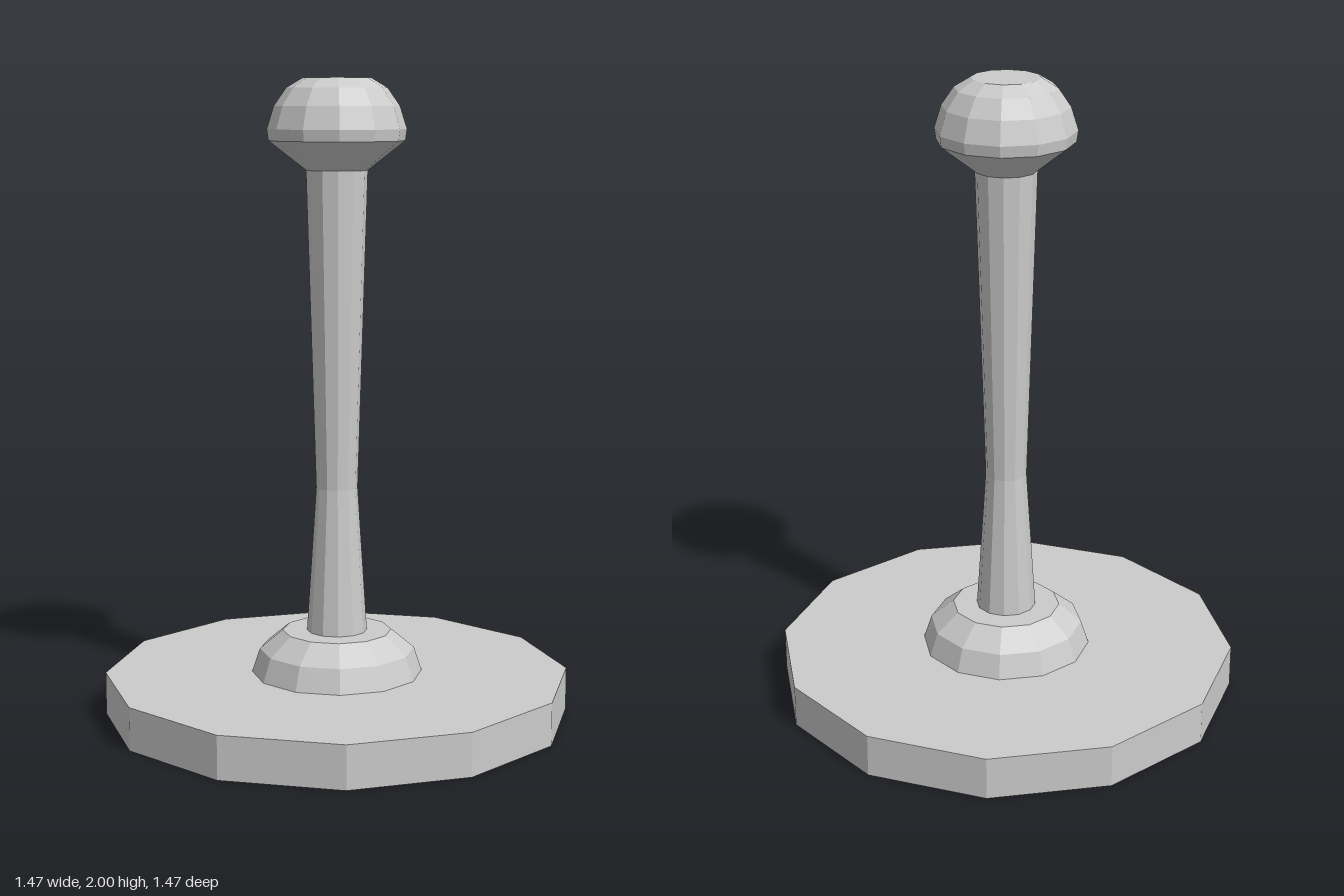
import * as THREE from 'three';

const SIDES = 12;

export function createModel() {
  const group = new THREE.Group();
  const material = new THREE.MeshStandardMaterial({ color: 0xcccccc, flatShading: true });

  // Turns a [radius, height] profile, listed bottom to top, into a faceted part
  const turned = (name, profile) => {
    const points = profile.map(([r, y]) => new THREE.Vector2(r, y));
    const mesh = new THREE.Mesh(new THREE.LatheGeometry(points, SIDES), material);
    mesh.name = name;
    group.add(mesh);
  };

  // Wide flat disc the model stands on
  turned('base', [[0, 0], [0.735, 0], [0.735, 0.135], [0, 0.135]]);

  // Stepped dome where the stem meets the base
  turned('collar', [[0.27, 0.135], [0.245, 0.21], [0.172, 0.27], [0, 0.27]]);

  // Stem with a narrow waist
  turned('stem', [[0.095, 0.27], [0.065, 0.73], [0.095, 1.72]]);

  // Rounded knob with a flat top
  turned('knob', [
    [0, 1.72], [0.095, 1.72], [0.21, 1.81], [0.215, 1.845],
    [0.193, 1.915], [0.155, 1.97], [0.105, 2], [0, 2],
  ]);

  return group;
}
